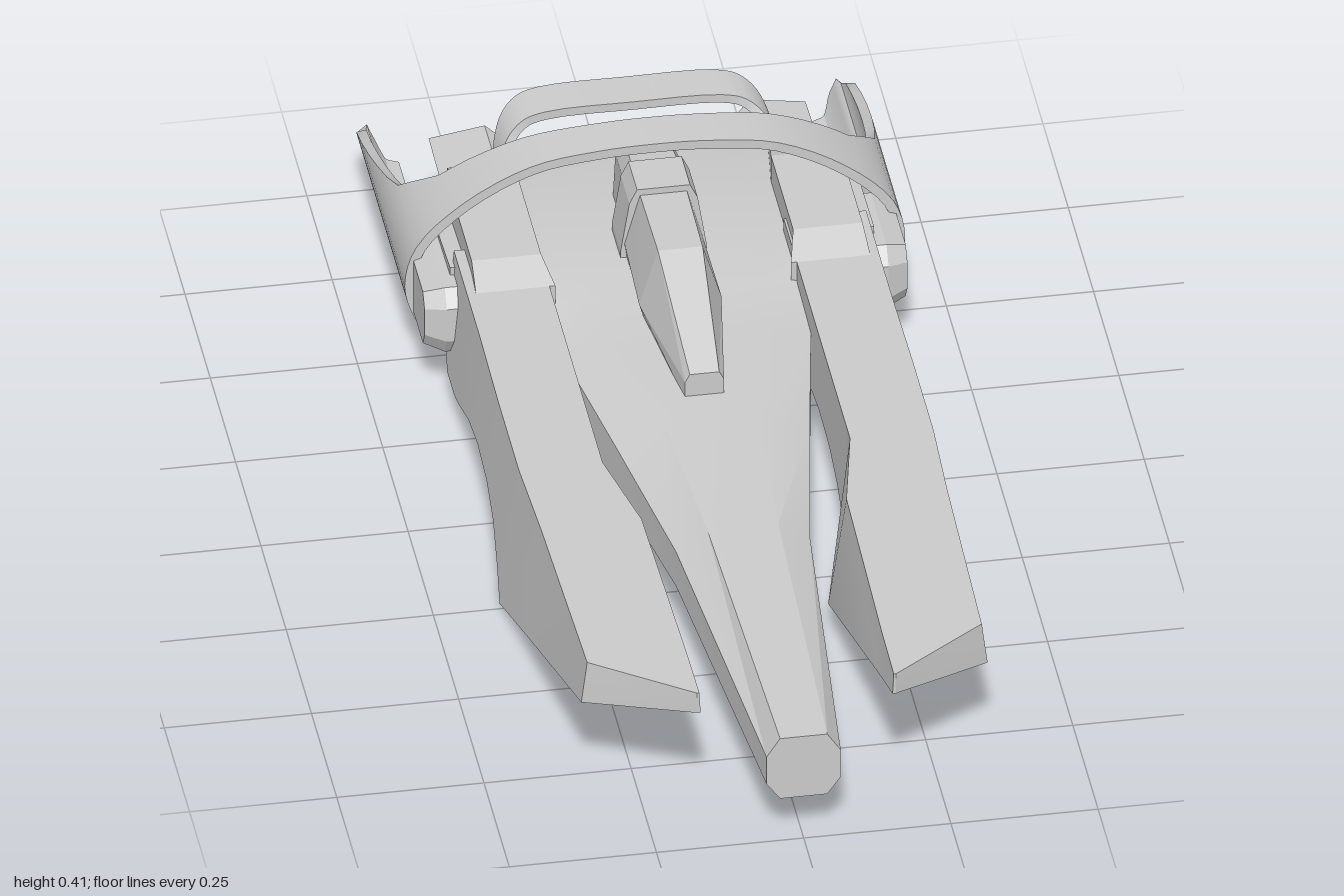
import * as THREE from 'three';
import { toCreasedNormals } from 'three/addons/utils/BufferGeometryUtils.js';

const material = new THREE.MeshStandardMaterial({ color: 0xcccccc });

// Skin a list of equal-length cross-sections, cap both ends and face outwards
function loft(name, rings, crease = 0.4) {
  const n = rings[0].length, tris = [];
  for (let i = 0; i < rings.length - 1; i++) {
    for (let j = 0; j < n; j++) {
      const k = (j + 1) % n, a = rings[i], b = rings[i + 1];
      tris.push([a[j], a[k], b[k]], [a[j], b[k], b[j]]);
    }
  }
  const centre = r => [0, 1, 2].map(c => r.reduce((s, p) => s + p[c], 0) / n);
  const first = rings[0], last = rings[rings.length - 1];
  for (let j = 0; j < n; j++) {
    const k = (j + 1) % n;
    tris.push([first[k], first[j], centre(first)], [last[j], last[k], centre(last)]);
  }
  let volume = 0;
  for (const [a, b, c] of tris) {
    volume += a[0] * (b[1] * c[2] - b[2] * c[1]) + a[1] * (b[2] * c[0] - b[0] * c[2])
      + a[2] * (b[0] * c[1] - b[1] * c[0]);
  }
  if (volume < 0) tris.forEach(t => t.reverse());
  const g = new THREE.BufferGeometry();
  g.setAttribute('position', new THREE.Float32BufferAttribute(tris.flat(2), 3));
  const mesh = new THREE.Mesh(toCreasedNormals(g, crease), material);
  mesh.name = name;
  return mesh;
}

// Left and right copies of a loft
function pair(name, rings, crease) {
  const group = new THREE.Group();
  group.name = name + 's';
  for (const s of [1, -1]) {
    const side = rings.map(r => r.map(([x, y, z]) => [x * s, y, z]));
    group.add(loft((s > 0 ? 'left ' : 'right ') + name, side, crease));
  }
  return group;
}

// Symmetrical section from its +x half, listed from top to bottom
const section = (z, half) => [
  ...half.map(([x, y]) => [x, y, z]),
  ...half.slice().reverse().map(([x, y]) => [-x, y, z]),
];

// Piecewise linear lookup
function lookup(table, v) {
  for (let i = 1; i < table.length; i++) {
    const [a, p] = table[i - 1], [b, q] = table[i];
    if (v <= b) return p + (q - p) * Math.max(0, (v - a) / (b - a));
  }
  return table[table.length - 1][1];
}

// Thin band arching over the hull; its z edges depend on height
function arch(name, half, thickness, frontZ, backZ, count) {
  const all = [...half, ...half.slice(0, -1).reverse().map(([x, y]) => [-x, y])];
  const curve = new THREE.CatmullRomCurve3(all.map(([x, y]) => new THREE.Vector3(x, y, 0)));
  const rings = [];
  for (let i = 0; i <= count; i++) {
    const p = curve.getPoint(i / count), t = curve.getTangent(i / count);
    const x = p.x - t.y * thickness, y = p.y + t.x * thickness;
    const f = frontZ(p.y), b = backZ(p.y);
    const inY = y < p.y || p.y > 0.12 ? y : p.y + thickness;
    rings.push([[p.x, p.y, f], [p.x, p.y, b], [inX(p.x, x), inY, b], [inX(p.x, x), inY, f]]);
  }
  return loft(name, rings, 0.5);
}
const inX = (outer, inner) => (Math.abs(inner) <= Math.abs(outer) ? inner : 2 * outer - inner);

// Hollow nozzle: outer wall, rim, then inner wall to a recessed floor
function nozzleRings(rim, depth, flare, hole) {
  const c = [0, 1].map(i => rim.reduce((s, p) => s + p[i], 0) / rim.length);
  const ring = (k, dz) => rim.map(([x, y, z]) =>
    [c[0] + (x - c[0]) * k, c[1] + (y - c[1]) * k, z + dz]);
  return [ring(flare, depth), ring(1, 0), ring(hole, 0), ring(hole * 0.9, depth * 0.6)];
}

export function createModel() {
  const model = new THREE.Group();
  model.name = 'racing craft';

  // Hull: z, top half width, top y, side half width, upper y, lower y, bottom half width, bottom y
  const hull = [
    [1, 0.04, 0.21, 0.063, 0.175, 0.12, 0.04, 0.088],
    [0.4, 0.06, 0.225, 0.114, 0.19, 0.12, 0.08, 0.086],
    [0.1, 0.08, 0.235, 0.165, 0.205, 0.12, 0.13, 0.085],
    [-0.15, 0.11, 0.24, 0.21, 0.22, 0.12, 0.19, 0.085],
    [-0.28, 0.15, 0.24, 0.235, 0.225, 0.12, 0.22, 0.088],
    [-0.33, 0.18, 0.247, 0.27, 0.235, 0.12, 0.26, 0.09],
    [-0.62, 0.18, 0.247, 0.3, 0.235, 0.12, 0.28, 0.095],
    [-0.75, 0.17, 0.225, 0.28, 0.21, 0.13, 0.26, 0.105],
  ];
  model.add(loft('hull', hull.map(([z, tx, ty, sx, uy, ly, bx, by]) =>
    section(z, [[tx, ty], [sx, uy], [sx, ly], [bx, by]]))));

  // Side pods: z, inner top x, outer top x, outer bottom x, inner bottom x, bottom y
  const pod = [
    [0.93, 0.165, 0.169, 0.169, 0.163, 0.23],
    [0.81, 0.166, 0.335, 0.345, 0.16, 0.19],
    [0.41, 0.174, 0.345, 0.372, 0.143, 0.06],
    [0.235, 0.21, 0.352, 0.385, 0.21, 0.003],
    [0.18, 0.21, 0.352, 0.38, 0.21, 0.045],
    [0.11, 0.21, 0.352, 0.375, 0.21, 0.09],
    [0.03, 0.21, 0.352, 0.372, 0.21, 0.113],
    [-0.07, 0.21, 0.351, 0.37, 0.21, 0.118],
    [-0.16, 0.21, 0.35, 0.37, 0.21, 0.106],
    [-0.26, 0.21, 0.35, 0.37, 0.21, 0.07],
    [-0.3, 0.21, 0.35, 0.37, 0.21, 0.06],
    [-0.37, 0.21, 0.35, 0.37, 0.21, 0.06],
    [-0.42, 0.21, 0.35, 0.365, 0.21, 0.1],
  ];
  model.add(pair('pod', pod.map(([z, it, ot, ob, ib, by]) =>
    [[it, 0.27, z], [ot, 0.27, z], [ob, by, z], [ib, by, z]])));

  // Raised blocks behind the pods, with sloped ends
  const block = (z, x0, x1, top, bottom) =>
    [[x0, top, z], [x1, top, z], [x1, bottom, z], [x0, bottom, z]];
  model.add(pair('shoulder block', [
    block(-0.29, 0.2, 0.335, 0.27, 0.2), block(-0.35, 0.214, 0.332, 0.295, 0.2),
    block(-0.57, 0.214, 0.332, 0.295, 0.2), block(-0.69, 0.23, 0.315, 0.25, 0.2),
  ], 0.1));
  model.add(pair('rear fairing', [
    block(-0.4, 0.24, 0.36, 0.25, 0.1), block(-0.66, 0.24, 0.362, 0.235, 0.1),
    block(-0.73, 0.25, 0.362, 0.2, 0.12),
  ], 0.1));

  // Chamfered mounts joining the pods to the big arch
  const mount = (x, s) => [[-0.365, 0.235], [-0.52, 0.235], [-0.52, 0.105], [-0.365, 0.105],
    [-0.343, 0.14], [-0.343, 0.205]].map(([z, y]) =>
    [x, 0.17 + (y - 0.17) * s, -0.43 + (z + 0.43) * s]);
  model.add(pair('arch mount', [mount(0.33, 1), mount(0.375, 1), mount(0.41, 0.8)], 0.1));

  // Canopy, collar and tail
  model.add(loft('canopy', [
    section(0.02, [[0.025, 0.28], [0.033, 0.265], [0.033, 0.23]]),
    section(-0.22, [[0.038, 0.37], [0.07, 0.265], [0.06, 0.23]]),
    section(-0.4, [[0.04, 0.37], [0.066, 0.275], [0.06, 0.23]]),
  ], 0.1));
  const collar = [[0.045, 0.382], [0.058, 0.355], [0.073, 0.26], [0.073, 0.23]];
  model.add(loft('canopy collar', [section(-0.385, collar), section(-0.47, collar)], 0.1));
  model.add(loft('canopy tail', [
    section(-0.46, [[0.04, 0.375], [0.055, 0.35], [0.055, 0.23]]),
    section(-0.57, [[0.035, 0.36], [0.05, 0.33], [0.055, 0.23]]),
  ], 0.1));

  // Big arch whose lower ends sweep back into fins
  const finBack = [[0.065, -0.96], [0.09, -1], [0.12, -1], [0.155, -0.955],
    [0.245, -0.66], [0.31, -0.585], [0.41, -0.55]];
  model.add(arch('arch with fins', [[0.355, 0.065], [0.385, 0.073], [0.408, 0.105], [0.425, 0.172],
    [0.405, 0.249], [0.325, 0.329], [0.21, 0.39], [0.1, 0.408], [0, 0.412]],
  0.017, () => -0.47, y => lookup(finBack, y), 64));

  // Rear hoop leaning backwards
  model.add(arch('rear hoop', [[0.245, 0.23], [0.235, 0.285], [0.218, 0.32], [0.19, 0.342],
    [0.15, 0.351], [0, 0.353]],
  0.016, y => -0.61 - (y - 0.25) * 0.7, y => -0.67 - (y - 0.25) * 0.85, 40));

  // Engine nozzles
  model.add(loft('centre nozzle', nozzleRings(section(-0.82,
    [[0.065, 0.215], [0.085, 0.195], [0.085, 0.145], [0.065, 0.125]]), 0.09, 1.2, 0.75), 0.1));
  model.add(pair('side nozzle', nozzleRings([[0.14, 0.175, -0.78], [0.225, 0.22, -0.845],
    [0.32, 0.205, -0.845], [0.3, 0.15, -0.84], [0.21, 0.13, -0.81]], 0.12, 1.02, 0.68), 0.1));

  return model;
}
